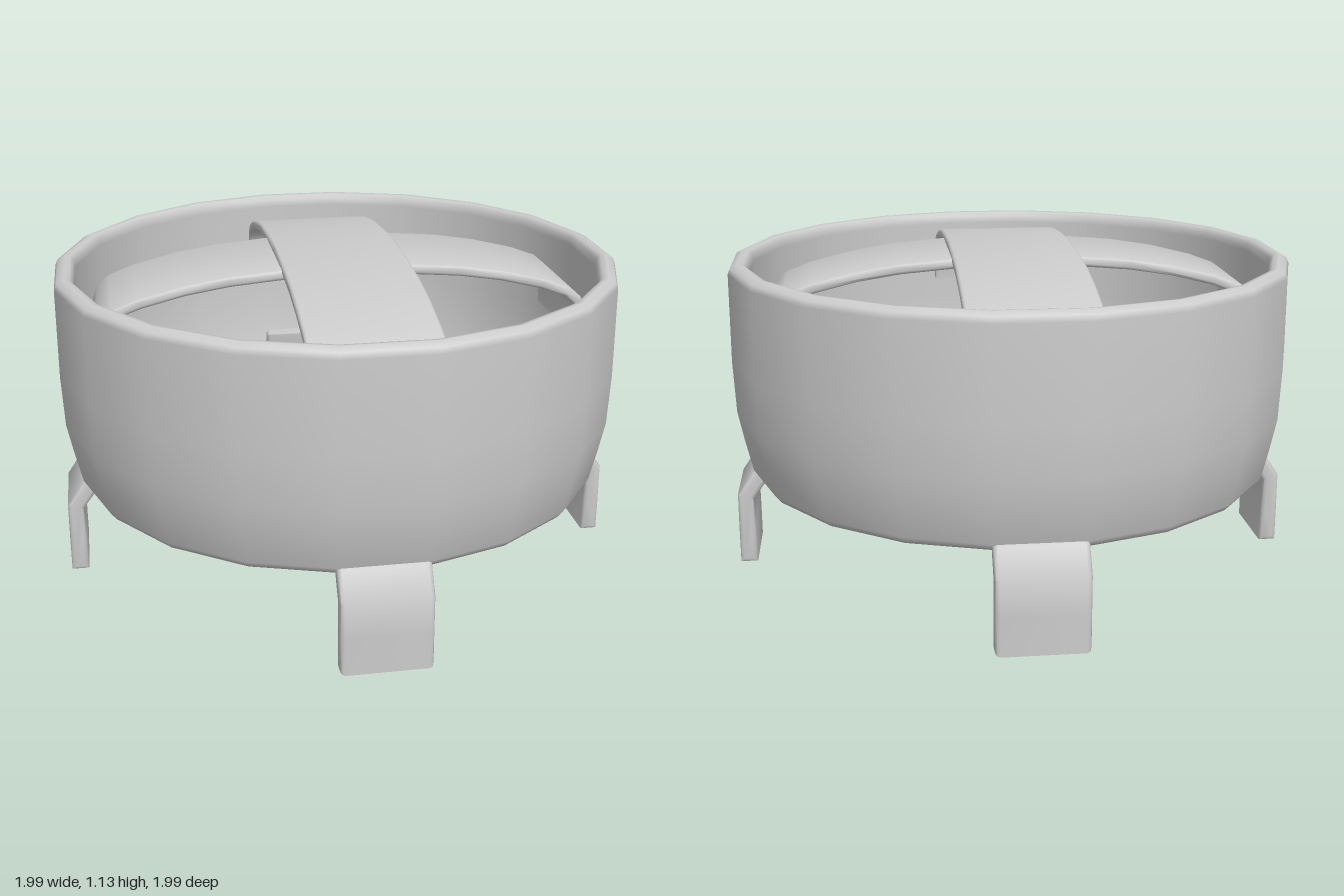
import * as THREE from 'three';
import { toCreasedNormals } from 'three/addons/utils/BufferGeometryUtils.js';

// Bent strip: a centre line in (x, y) thickened to t and extruded to width w along z
function strip(path, t, w, bevel) {
  const pts = path.map(([x, y]) => new THREE.Vector2(x, y));
  const left = [], right = [];
  pts.forEach((p, i) => {
    const a = pts[Math.max(i - 1, 0)], b = pts[Math.min(i + 1, pts.length - 1)];
    const d = b.clone().sub(a).normalize();
    const n = new THREE.Vector2(-d.y, d.x).multiplyScalar(t / 2);
    left.push(p.clone().add(n));
    right.unshift(p.clone().sub(n));
  });
  const geo = new THREE.ExtrudeGeometry(new THREE.Shape([...left, ...right]), {
    depth: w - 2 * bevel, bevelEnabled: true, bevelThickness: bevel,
    bevelSize: bevel, bevelOffset: -bevel, bevelSegments: 2,
  });
  geo.translate(0, 0, bevel - w / 2);
  return toCreasedNormals(geo, 0.8);
}

export function createModel() {
  const group = new THREE.Group();
  const grey = new THREE.MeshStandardMaterial({ color: 0xcccccc });
  grey.name = 'light grey';
  const add = (name, geo, angle = 0) => {
    const mesh = new THREE.Mesh(geo, grey);
    mesh.name = name;
    mesh.rotation.y = angle;
    group.add(mesh);
    return mesh;
  };

  // Twenty-sided ring wall, rounded at the rim and drawn in at the bottom
  const wall = [
    [0.89, 0.325], [0.92, 0.325], [0.94, 0.35], [0.965, 0.46], [0.987, 0.57], [0.995, 0.75],
    [0.993, 1.06], [0.985, 1.08], [0.96, 1.093], [0.94, 1.09], [0.928, 1.075], [0.925, 1.05],
    [0.93, 0.75], [0.92, 0.57], [0.895, 0.46], [0.875, 0.36], [0.875, 0.34], [0.89, 0.325],
  ].map(([r, y]) => new THREE.Vector2(r, y));
  add('ringWall', new THREE.LatheGeometry(wall, 20));

  // Two arched straps crossing the top, with ends turned down inside the wall
  const half = [[0.2, 1.108], [0.4, 1.091], [0.55, 1.067], [0.7, 1.03],
    [0.79, 0.997], [0.828, 0.965], [0.842, 0.925], [0.842, 0.83]];
  const arch = [...half.map(([x, y]) => [-x, y]).reverse(), [0, 1.114], ...half];
  const strap = strip(arch, 0.035, 0.44, 0.01);
  add('upperStrap', strap, Math.PI / 4);
  add('lowerStrap', strap, -Math.PI / 4).position.y = -0.015;

  // Four cranked legs, their tabs fixed to the inside of the wall
  const leg = strip([[0.962, 0], [0.962, 0.13], [0.962, 0.25], [0.91, 0.325],
    [0.862, 0.39], [0.855, 0.52]], 0.06, 0.305, 0.015);
  for (let i = 0; i < 4; i++) add('leg', leg, Math.PI / 4 + i * Math.PI / 2);

  return group;
}
